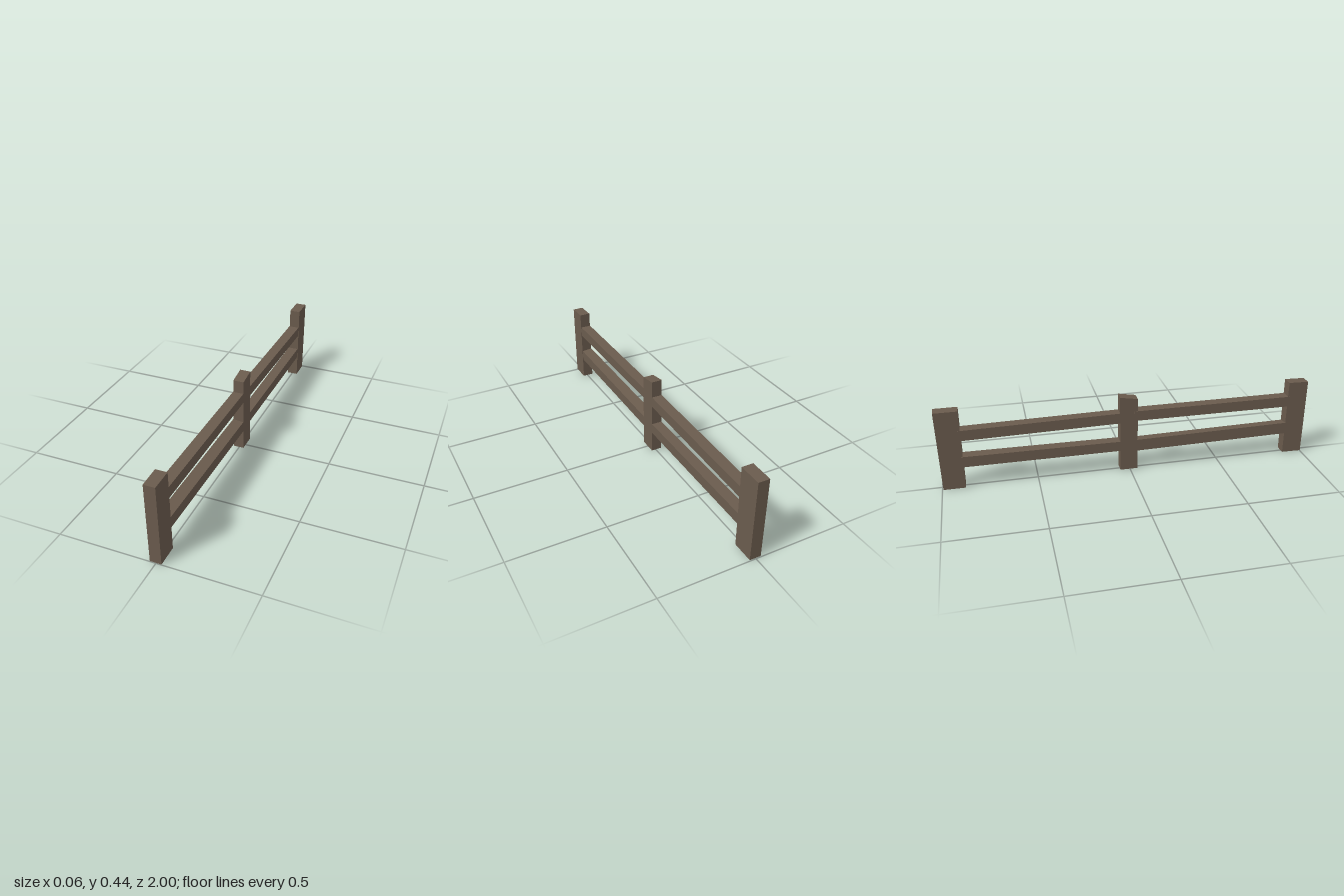
import * as THREE from 'three';

const wood = new THREE.MeshStandardMaterial({ color: 0x6a5b4d });
wood.name = 'weathered wood';

// Hewn beam: a box whose eight corners are placed by end sections.
// Each end gives z, bottom y, top y, left and right x.
function beam(name, front, back, tilt = 0) {
  const geo = new THREE.BoxGeometry(1, 1, 1);
  const p = geo.attributes.position;
  for (let i = 0; i < p.count; i++) {
    const end = p.getZ(i) > 0 ? front : back;
    const right = p.getX(i) > 0, top = p.getY(i) > 0;
    const z = top ? end.z : end.zBottom ?? end.z;
    const y = (top ? end.y1 : end.y0) - (right && top ? tilt : 0);
    p.setXYZ(i, right ? end.x1 : end.x0, y, z);
  }
  geo.computeVertexNormals();
  const mesh = new THREE.Mesh(geo, wood);
  mesh.name = name;
  return mesh;
}

export function createModel() {
  const group = new THREE.Group();
  group.name = 'fence';

  // Posts, each cut slightly unevenly
  group.add(
    beam('frontPost',
      { z: 1, y0: 0.003, y1: 0.427, x0: -0.03, x1: 0.028 },
      { z: 0.89, y0: 0.005, y1: 0.43, x0: -0.031, x1: 0.028 }),
    beam('middlePost',
      { z: 0.04, y0: 0.005, y1: 0.416, x0: -0.03, x1: 0.027 },
      { z: -0.055, y0: 0.005, y1: 0.432, x0: -0.03, x1: 0.027 }),
    beam('backPost',
      { z: -0.877, zBottom: -0.88, y0: 0, y1: 0.437, x0: -0.029, x1: 0.03 },
      { z: -1, zBottom: -0.995, y0: 0, y1: 0.437, x0: -0.029, x1: 0.03 })
  );

  // Rails, with their ends let into the posts
  group.add(
    beam('frontUpperRail',
      { z: 0.9, y0: 0.29, y1: 0.348, x0: -0.032, x1: 0.026 },
      { z: 0.02, y0: 0.292, y1: 0.347, x0: -0.032, x1: 0.026 }),
    beam('frontLowerRail',
      { z: 0.9, y0: 0.125, y1: 0.19, x0: -0.032, x1: 0.026 },
      { z: 0.02, y0: 0.113, y1: 0.178, x0: -0.032, x1: 0.026 }, 0.007),
    beam('backUpperRail',
      { z: -0.04, y0: 0.285, y1: 0.342, x0: -0.03, x1: 0.026 },
      { z: -0.89, y0: 0.273, y1: 0.33, x0: -0.031, x1: 0.028 }),
    beam('backLowerRail',
      { z: -0.04, y0: 0.121, y1: 0.176, x0: -0.03, x1: 0.026 },
      { z: -0.89, y0: 0.122, y1: 0.181, x0: -0.031, x1: 0.028 })
  );
  return group;
}
